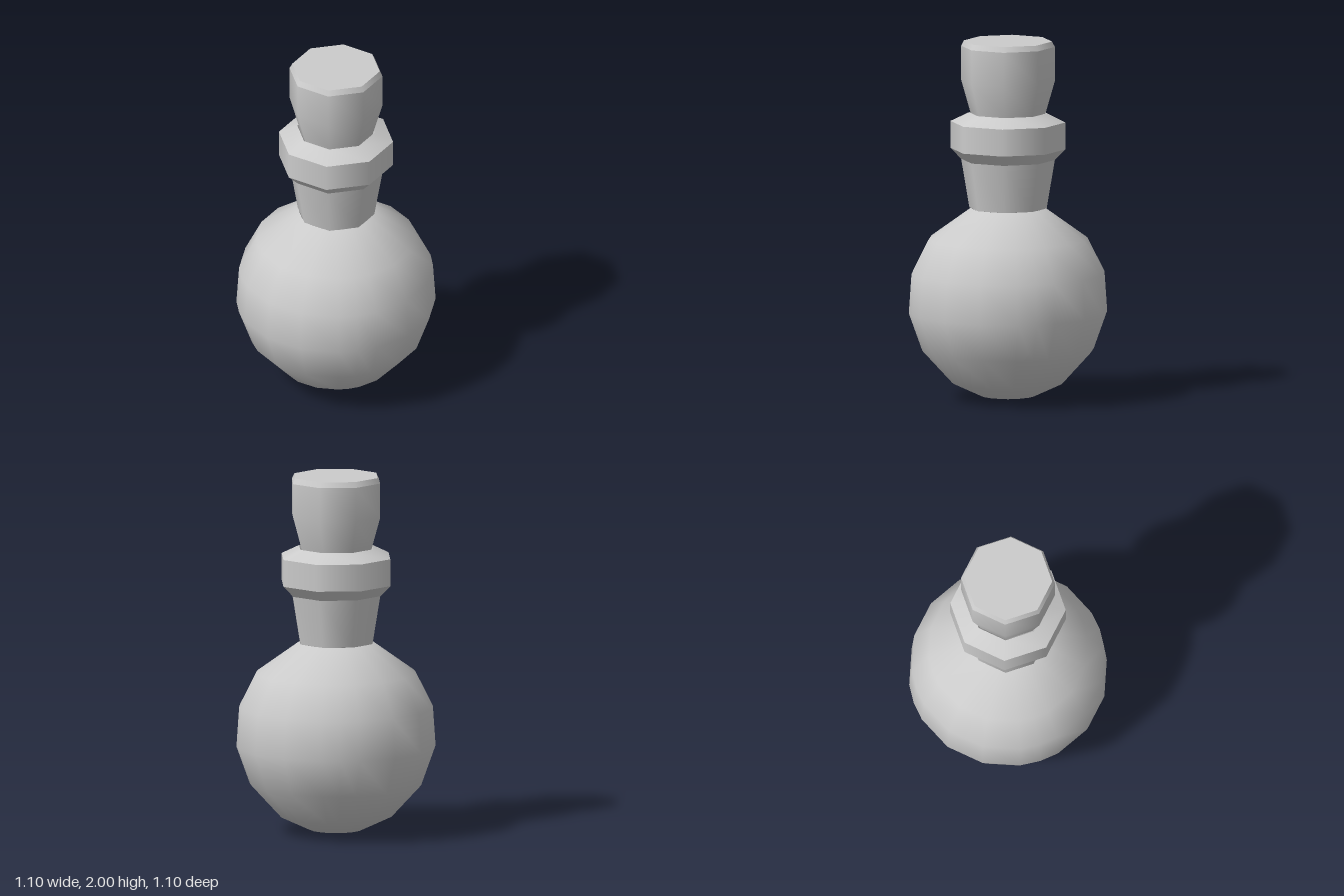
import * as THREE from 'three';
import { mergeGeometries } from 'three/addons/utils/BufferGeometryUtils.js';

const material = new THREE.MeshStandardMaterial({ color: 0xcccccc, side: THREE.DoubleSide });
const toPoints = (list) => list.map(([r, y]) => new THREE.Vector2(r, y));

// Octagonal turned part with flats facing the axes. Radii are measured to the flats.
// Each section is smooth within itself and creased against its neighbours.
function octagonPart(name, sections) {
  const geometries = sections.map((section) => {
    const points = toPoints(section.map(([r, y]) => [r / Math.cos(Math.PI / 8), y]));
    return new THREE.LatheGeometry(points, 8, Math.PI / 8);
  });
  const mesh = new THREE.Mesh(mergeGeometries(geometries), material);
  mesh.name = name;
  return mesh;
}

// Round bulb: a lathe whose 20 columns are respaced, ending in an octagon at the neck.
function makeBulb() {
  const neckY = 1.07, centreY = 0.55;
  const geometry = new THREE.LatheGeometry(toPoints([
    [0, 0.003], [0.15, 0.025], [0.31, 0.1], [0.475, 0.28],
    [0.55, 0.49], [0.535, 0.71], [0.44, 0.9], [0.2, neckY],
  ]), 20);
  const columns = [0, 11.25, 33.75, 56.25, 78.75];
  const { position, normal } = geometry.attributes;
  const rows = 8;
  const v = new THREE.Vector3();
  for (let i = 0; i < position.count; i++) {
    const column = Math.floor(i / rows);
    const degrees = Math.floor(column / 5) * 90 + columns[column % 5];
    v.fromBufferAttribute(position, i);
    let radius = Math.hypot(v.x, v.z);
    if (i % rows === rows - 1) {
      const offset = degrees - Math.round(degrees / 45) * 45;
      radius /= Math.cos(THREE.MathUtils.degToRad(offset));
    }
    const angle = THREE.MathUtils.degToRad(degrees);
    v.set(radius * Math.sin(angle), v.y, radius * Math.cos(angle));
    position.setXYZ(i, v.x, v.y, v.z);
    v.y -= centreY;
    v.normalize();
    normal.setXYZ(i, v.x, v.y, v.z);
  }
  const mesh = new THREE.Mesh(geometry, material);
  mesh.name = 'bulb';
  return mesh;
}

export function createModel() {
  const model = new THREE.Group();
  model.name = 'stopperedFlask';
  model.add(makeBulb());

  // Neck flaring upward
  model.add(octagonPart('neck', [[[0.198, 1.07], [0.24, 1.34]]]));

  // Collar: lower bevel, band, sloped rim, inner lip
  model.add(octagonPart('collar', [
    [[0.24, 1.34], [0.295, 1.4]],
    [[0.295, 1.4], [0.295, 1.55]],
    [[0.295, 1.55], [0.2, 1.6]],
    [[0.2, 1.6], [0.185, 1.575]],
  ]));

  // Stopper: tapered plug, chamfer, flat top
  model.add(octagonPart('stopper', [
    [[0.187, 1.575], [0.195, 1.61], [0.24, 1.78], [0.24, 1.97]],
    [[0.24, 1.97], [0.226, 2]],
    [[0.226, 2], [0, 2]],
  ]));
  return model;
}
